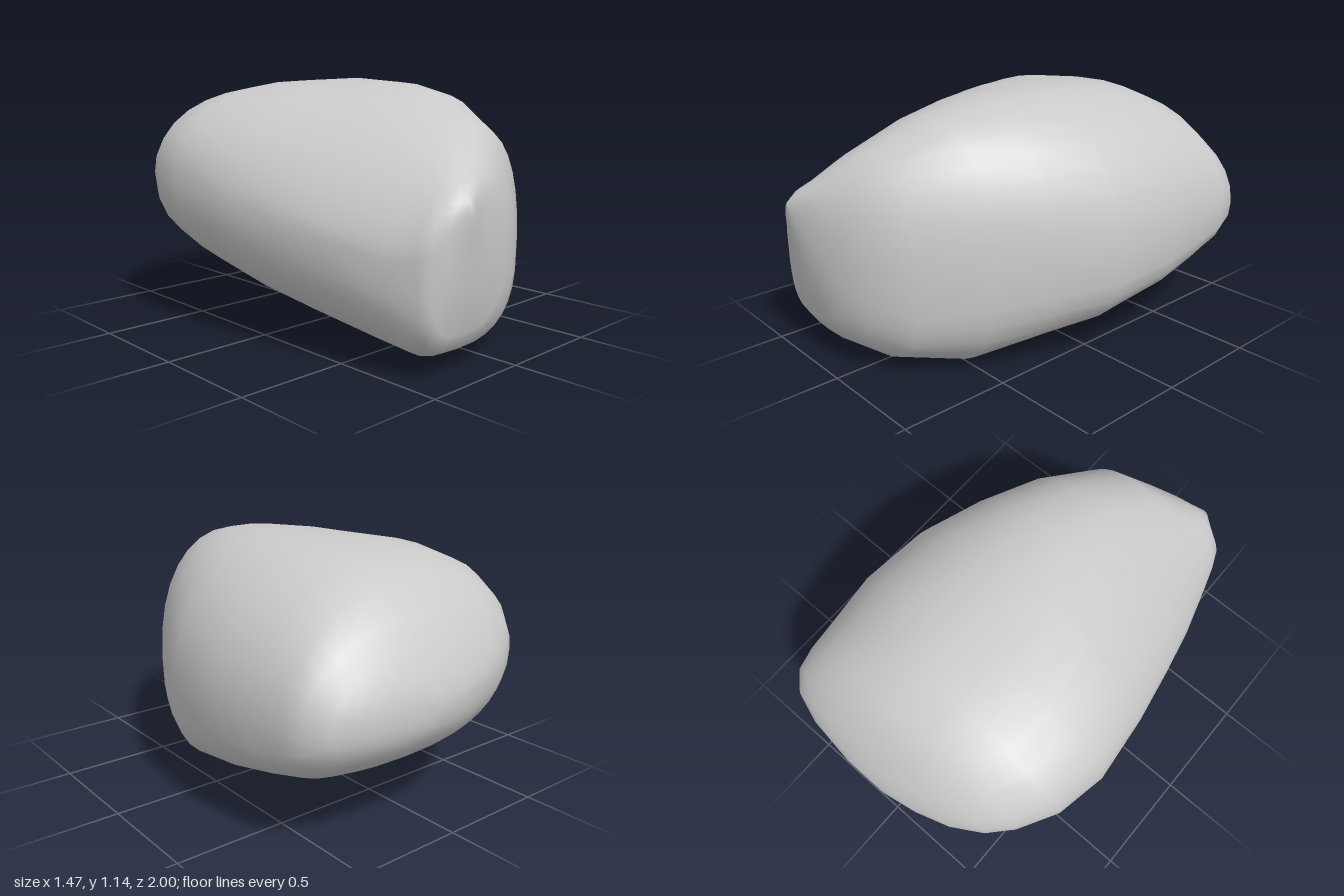
import * as THREE from 'three';

const SEGMENTS = 32;

// Cross-sections from front to back:
// z, left x, left y, right x, right y, top x, top y, bottom x, bottom y
const SECTIONS = [
  [1.0, -0.34, 0.65, -0.27, 0.65, -0.3, 0.72, -0.3, 0.6],
  [0.97, -0.4, 0.57, -0.14, 0.54, -0.26, 0.755, -0.28, 0.38],
  [0.94, -0.465, 0.52, 0.0, 0.48, -0.21, 0.79, -0.27, 0.18],
  [0.89, -0.49, 0.49, 0.12, 0.45, -0.14, 0.84, -0.24, 0.1],
  [0.78, -0.525, 0.48, 0.3, 0.44, -0.03, 0.955, -0.14, 0.04],
  [0.52, -0.6, 0.52, 0.465, 0.46, 0.04, 1.08, 0.09, 0.0],
  [0.28, -0.65, 0.56, 0.585, 0.48, 0.07, 1.125, 0.1, 0.04],
  [0.0, -0.7, 0.61, 0.7, 0.5, 0.08, 1.14, 0.12, 0.09],
  [-0.33, -0.735, 0.66, 0.73, 0.53, 0.07, 1.125, 0.12, 0.165],
  [-0.57, -0.69, 0.68, 0.705, 0.53, 0.05, 1.09, 0.12, 0.225],
  [-0.74, -0.595, 0.68, 0.69, 0.53, 0.04, 1.02, 0.12, 0.27],
  [-0.84, -0.5, 0.66, 0.67, 0.54, 0.04, 0.92, 0.12, 0.32],
  [-0.92, -0.36, 0.63, 0.59, 0.55, 0.06, 0.81, 0.12, 0.38],
  [-0.97, -0.2, 0.61, 0.44, 0.56, 0.09, 0.71, 0.11, 0.44],
  [-1.0, -0.03, 0.59, 0.2, 0.57, 0.1, 0.64, 0.1, 0.5],
];

// Fullness of each section's corners: upper right, upper left, lower left, lower right
const CORNERS = [
  [2, 2, 2, 2],
  [2, 2, 2.8, 2.2],
  [2.1, 1.9, 3.5, 2.5],
  [2.2, 1.8, 3.3, 2.8],
  [2.3, 1.65, 2.8, 3],
  [2.3, 1.6, 2.3, 2.7],
  [2.2, 1.75, 2.3, 2.8],
  [2.05, 2.0, 2.3, 3],
  [2, 2.45, 2.2, 3.2],
  [2, 2.35, 2.2, 3.3],
  [2.1, 2.2, 2.2, 3.1],
  [2.1, 2.2, 2.2, 2.8],
  [2.1, 2.1, 2.1, 2.4],
  [2, 2, 2, 2.2],
  [2, 2, 2, 2],
];

// Rounded outline through the four extreme points of a section
function ring([z, lx, ly, rx, ry, tx, ty, bx, by], i) {
  const [upperRight, upperLeft, lowerLeft, lowerRight] = CORNERS[i];
  const points = [];
  for (let j = 0; j < SEGMENTS; j++) {
    const a = (j / SEGMENTS) * Math.PI * 2;
    const c = Math.cos(a), s = Math.sin(a);
    const right = c >= 0, upper = s >= 0;
    const fullness = upper ? (right ? upperRight : upperLeft) : (right ? lowerRight : lowerLeft);
    const u = Math.abs(c) ** (2 / fullness), v = Math.abs(s) ** (2 / fullness);
    const midX = upper ? tx : bx, endY = upper ? ty : by;
    const sideX = right ? rx : lx, sideY = right ? ry : ly;
    points.push(midX + (sideX - midX) * u, sideY + (endY - sideY) * v, z);
  }
  return points;
}

function boulderGeometry() {
  const positions = SECTIONS.flatMap(ring);
  const index = [];
  const last = SECTIONS.length - 1;
  const frontCentre = SECTIONS.length * SEGMENTS;
  const backCentre = frontCentre + 1;
  positions.push(-0.3, 0.65, 1.0, 0.09, 0.57, -1.0);

  for (let j = 0; j < SEGMENTS; j++) {
    const k = (j + 1) % SEGMENTS;
    for (let i = 0; i < last; i++) {
      const a = i * SEGMENTS, b = a + SEGMENTS;
      index.push(a + j, b + j, a + k, a + k, b + j, b + k);
    }
    // End caps
    const e = last * SEGMENTS;
    index.push(frontCentre, j, k, backCentre, e + k, e + j);
  }

  const geometry = new THREE.BufferGeometry();
  geometry.setAttribute('position', new THREE.Float32BufferAttribute(positions, 3));
  geometry.setIndex(index);
  geometry.computeVertexNormals();
  return geometry;
}

export function createModel() {
  const group = new THREE.Group();
  group.name = 'rock';
  const stone = new THREE.MeshStandardMaterial({ color: 0xcacaca });
  stone.name = 'pale grey stone';
  const boulder = new THREE.Mesh(boulderGeometry(), stone);
  boulder.name = 'boulder';
  group.add(boulder);
  return group;
}
